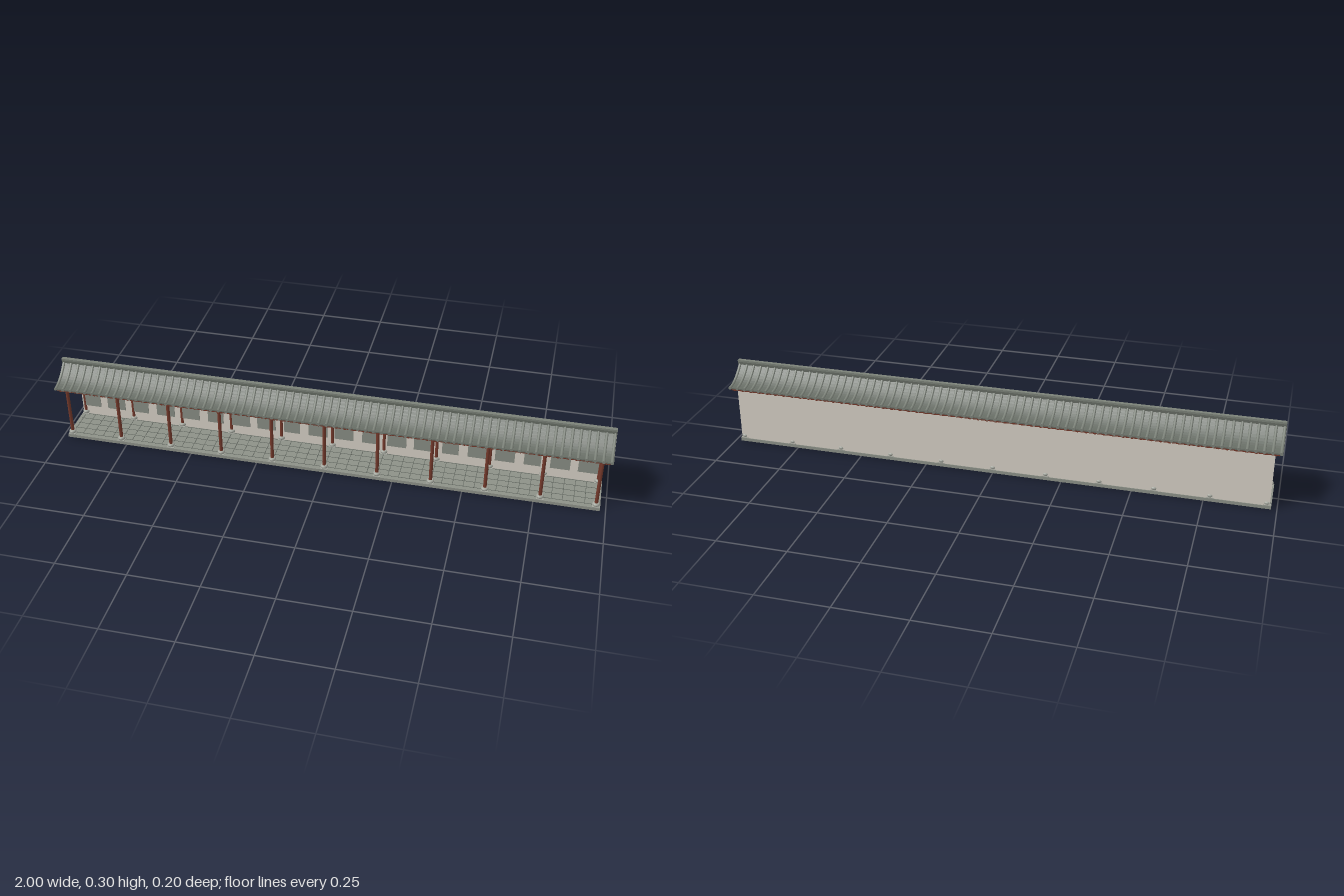
import * as THREE from 'three';

const material = (name, color, extra = {}) => {
  const m = new THREE.MeshStandardMaterial({ color, ...extra });
  m.name = name;
  return m;
};

export function createModel() {
  const group = new THREE.Group();
  const wood = material('dark red wood', 0x74392b);
  const stone = material('stone', 0x8d9188);
  const seam = material('paving seam', 0x5f645d);
  const drumStone = material('pale stone', 0xa3a69d);
  const plaster = material('plaster', 0xd6d0c6);
  const panelGrey = material('panel grey', 0x898d84);
  const tile = material('roof tile', 0x666c64);
  const ribTile = material('rib tile', 0x7b8178);

  const add = (name, geometry, mat, x = 0, y = 0, z = 0, parent = group) => {
    const mesh = new THREE.Mesh(geometry, mat);
    mesh.name = name;
    mesh.position.set(x, y, z);
    parent.add(mesh);
    return mesh;
  };
  const box = (name, w, h, d, mat, x, y, z, parent) =>
    add(name, new THREE.BoxGeometry(w, h, d), mat, x, y, z, parent);
  const section = (name) => {
    const g = new THREE.Group();
    g.name = name;
    group.add(g);
    return g;
  };

  // Sweeping roof line: height at distance z from the ridge
  const roofY = (z) => 0.228 + 0.056 * (1 - Math.abs(z) / 0.1) ** 2;

  // Curved band following the roof line, extruded along x
  const roofBand = (reach, drop, thickness, length) => {
    const n = 20, top = [], bottom = [];
    for (let i = 0; i <= n; i++) {
      const z = reach * (2 * i / n - 1);
      top.push(new THREE.Vector2(z, roofY(z) - drop));
      bottom.unshift(new THREE.Vector2(z, roofY(z) - drop - thickness));
    }
    const g = new THREE.ExtrudeGeometry(new THREE.Shape([...top, ...bottom]),
      { depth: length, bevelEnabled: false });
    return g.translate(0, 0, -length / 2).rotateY(-Math.PI / 2);
  };

  // Platform with paving seams
  box('platform', 1.96, 0.012, 0.16, stone, 0, 0.006, 0);
  const paving = section('paving');
  const step = 0.193;
  for (let i = -25; i <= 25; i++)
    box('crossSeam', 0.002, 0.001, 0.125, seam, i * step / 5, 0.0122, 0, paving);
  for (let i = -2; i <= 2; i++)
    box('longSeam', 1.94, 0.001, 0.002, seam, 0, 0.0122, i * 0.031, paving);

  // Back wall with alternating tall and short panels
  box('backWall', 1.95, 0.206, 0.012, plaster, 0, 0.114, -0.0715);
  const panels = section('wallPanels');
  const panelSizes = [[0.07, 0.14], [0.07, 0.116], [0.06, 0.12]];
  for (let i = 0; i < 20; i++) {
    const [w, h] = panelSizes[i % 3];
    box('wallPanel', w, h, 0.003, panelGrey, -0.935 + i * 0.0979, 0.05 + h / 2, -0.0645, panels);
  }

  // Columns on stone drums, with cross beams over each pair
  const columns = section('columns');
  const frames = section('roofFrames');
  const columnShape = new THREE.CylinderGeometry(0.0062, 0.0062, 0.197, 12);
  const drumShape = new THREE.LatheGeometry([[0, 0], [0.009, 0], [0.0125, 0.003],
    [0.0135, 0.007], [0.012, 0.011], [0.009, 0.013], [0, 0.013]]
    .map(([r, y]) => new THREE.Vector2(r, y)), 14);
  for (let i = -5; i <= 5; i++) {
    const x = i * step;
    for (const z of [0.068, -0.068]) {
      box('plinth', 0.026, 0.003, 0.024, drumStone, x, 0.0135, z, columns);
      add('columnDrum', drumShape, drumStone, x, 0.0145, z, columns);
      add('column', columnShape, wood, x, 0.1215, z, columns);
    }
    box('crossBeam', 0.01, 0.01, 0.142, wood, x, 0.222, 0, frames);
    box('upperBeam', 0.008, 0.007, 0.074, wood, x, 0.2345, 0, frames);
  }

  // Long timbers
  for (const s of [1, -1]) {
    box('wallPlate', 1.96, 0.008, 0.009, wood, 0, 0.218, s * 0.068, frames);
    box('purlin', 1.96, 0.006, 0.007, wood, 0, 0.2345, s * 0.035, frames);
    box('eaveBoard', 1.98, 0.009, 0.007, wood, 0, 0.219, s * 0.092, frames);
  }
  box('ridgePurlin', 1.96, 0.008, 0.007, wood, 0, 0.268, 0, frames);

  // Curved rafters
  const rafters = section('rafters');
  const rafterShape = roofBand(0.095, 0.010, 0.0055, 0.008);
  for (let i = 0; i < 62; i++)
    add('rafter', rafterShape, wood, -0.976 + i * 0.032, 0, 0, rafters);

  // Tiled roof: deck, round ribs with end caps, ridge
  add('roofDeck', roofBand(0.099, 0.003, 0.0045, 2), tile);
  const ribs = section('roofRibs');
  const capShape = new THREE.CylinderGeometry(0.006, 0.006, 0.002, 10).rotateX(Math.PI / 2);
  const ribCount = 72;
  for (const s of [1, -1]) {
    const line = [];
    for (let i = 0; i <= 6; i++) {
      const z = s * 0.099 * i / 6;
      line.push(new THREE.Vector3(0, roofY(z) - 0.004, z));
    }
    const ribShape = new THREE.TubeGeometry(new THREE.CatmullRomCurve3(line), 10, 0.0055, 8);
    for (let i = 0; i < ribCount; i++) {
      const x = -0.994 + i * 1.988 / (ribCount - 1);
      add('roofRib', ribShape, ribTile, x, 0, 0, ribs);
      add('ribEnd', capShape, ribTile, x, roofY(0.099) - 0.004, s * 0.099, ribs);
    }
  }
  box('ridge', 2, 0.012, 0.01, tile, 0, 0.285, 0);
  box('ridgeCap', 2, 0.007, 0.014, ribTile, 0, 0.2935, 0);

  return group;
}
